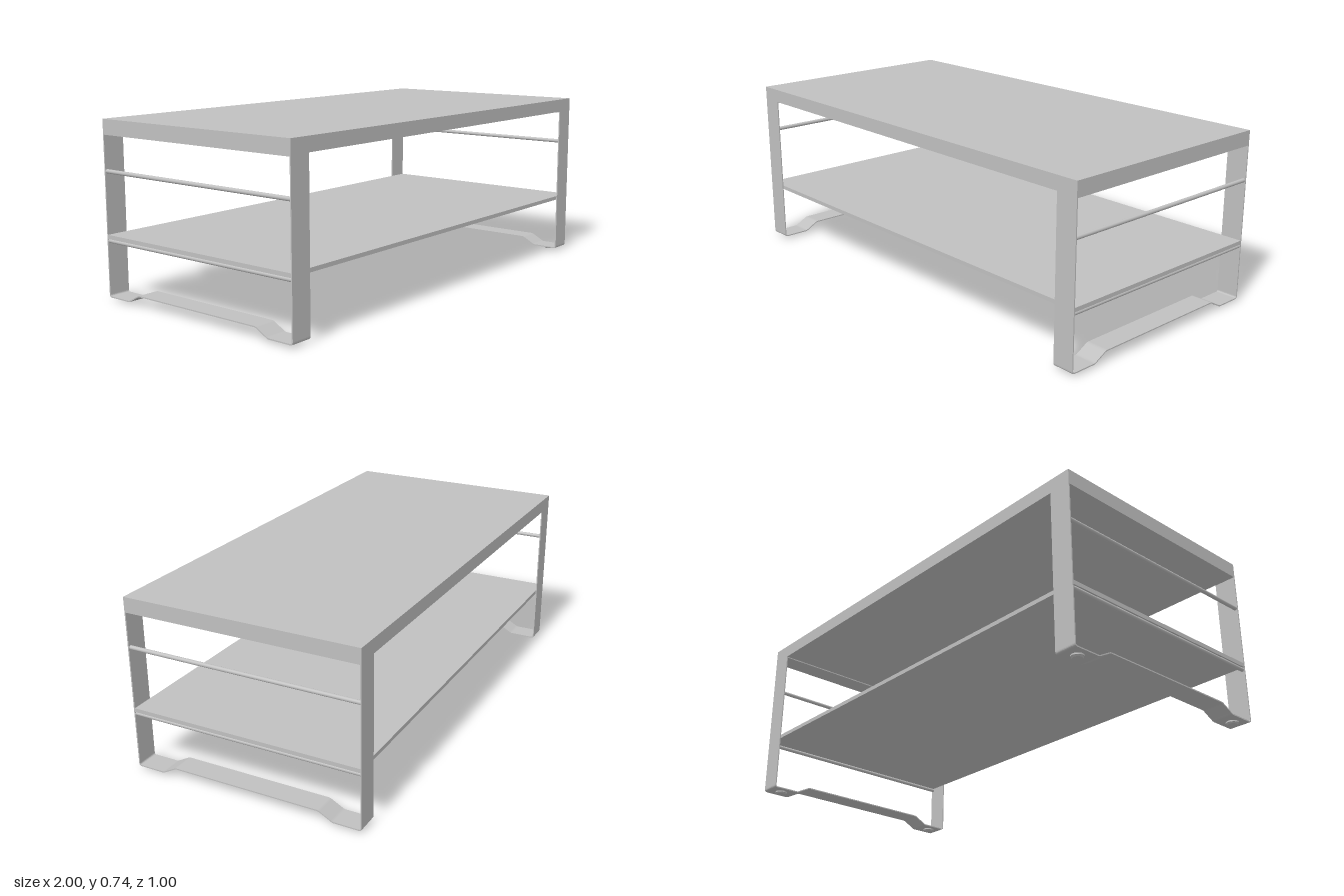
import * as THREE from 'three';

const STRAP_WIDTH = 0.094, THICK = 0.005;

// Closed outline of the bent strap in the z-y plane, inset by t
function strapOutline(target, t) {
  const w = 0.5 - t, low = 0.011 + t, mid = 0.043 + t, top = 0.68 - t, r = 0.013 - t;
  target.moveTo(-w, top);
  target.lineTo(-w, low + r);
  target.quadraticCurveTo(-w, low, -w + r, low);
  // raised middle of the foot bar
  target.lineTo(-0.385, low);
  target.quadraticCurveTo(-0.378, low, -0.37, low + 0.005);
  target.lineTo(-0.327, mid - 0.004);
  target.quadraticCurveTo(-0.32, mid, -0.312, mid);
  target.lineTo(0.312, mid);
  target.quadraticCurveTo(0.32, mid, 0.327, mid - 0.004);
  target.lineTo(0.37, low + 0.005);
  target.quadraticCurveTo(0.378, low, 0.385, low);
  target.lineTo(w - r, low);
  target.quadraticCurveTo(w, low, w, low + r);
  target.lineTo(w, top);
  target.closePath();
  return target;
}

export function createModel() {
  const model = new THREE.Group();
  model.name = 'coffeeTable';
  const grey = new THREE.MeshStandardMaterial({ color: 0xc0c0c0 });
  grey.name = 'grey';

  const add = (parent, name, geometry, x, y, z) => {
    const mesh = new THREE.Mesh(geometry, grey);
    mesh.name = name;
    mesh.position.set(x, y, z);
    parent.add(mesh);
  };

  // Top and lower shelf
  add(model, 'tableTop', new THREE.BoxGeometry(2, 0.058, 1), 0, 0.709, 0);
  add(model, 'shelf', new THREE.BoxGeometry(2, 0.017, 0.99), 0, 0.262, 0);

  // Shared side frame geometry
  const outline = strapOutline(new THREE.Shape(), 0);
  outline.holes.push(strapOutline(new THREE.Path(), THICK));
  const strap = new THREE.ExtrudeGeometry(outline, { depth: STRAP_WIDTH, bevelEnabled: false, curveSegments: 6 });
  strap.rotateY(-Math.PI / 2).translate(STRAP_WIDTH / 2, 0, 0);
  const rod = new THREE.CylinderGeometry(0.0085, 0.0085, 0.99, 20).rotateX(Math.PI / 2);
  const pad = new THREE.CylinderGeometry(0.026, 0.026, 0.006, 28);
  const padBase = new THREE.CylinderGeometry(0.023, 0.019, 0.005, 28);

  // Mirrored side frames with rods and foot pads
  for (const side of [-1, 1]) {
    const frame = new THREE.Group();
    frame.name = side > 0 ? 'leftFrame' : 'rightFrame';
    const x = side * (1 - STRAP_WIDTH / 2);
    add(frame, 'strap', strap, x, 0, 0);
    add(frame, 'sideRod', rod, side * 0.99, 0.528, 0);
    add(frame, 'shelfRod', rod, side * 0.99, 0.245, 0);
    for (const z of [-0.44, 0.44]) {
      add(frame, 'footPad', pad, x, 0.008, z);
      add(frame, 'footPadBase', padBase, x, 0.0025, z);
    }
    model.add(frame);
  }
  return model;
}
